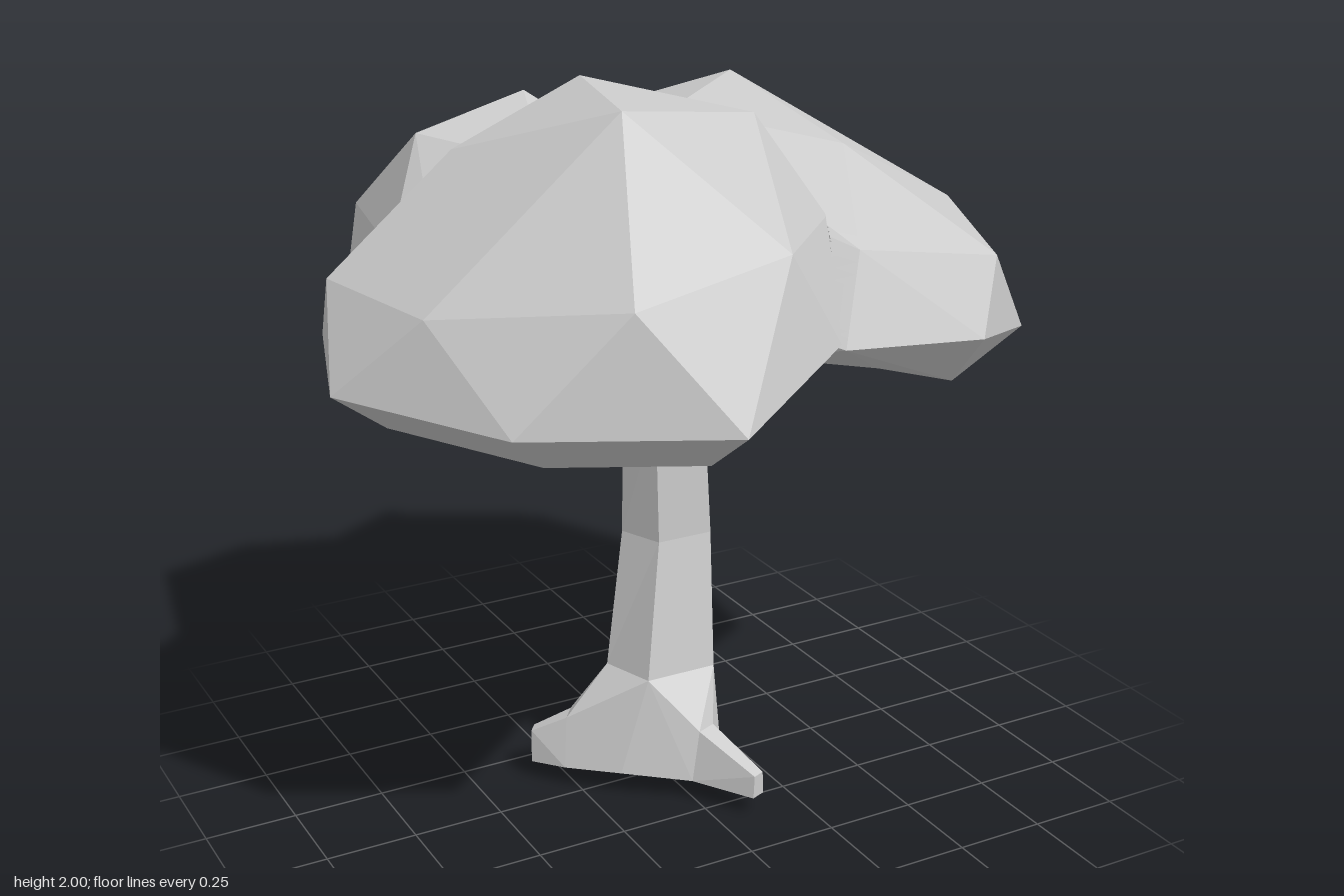
import * as THREE from 'three';
import { ConvexGeometry } from 'three/addons/geometries/ConvexGeometry.js';

const V = (p) => new THREE.Vector3(...p);

function meshOf(name, points, material) {
  const geo = new THREE.BufferGeometry().setFromPoints(points);
  geo.computeVertexNormals();
  const mesh = new THREE.Mesh(geo, material);
  mesh.name = name;
  return mesh;
}

// Convex dome: its faces without the cap between rim points, and the planes of the closed hull
function dome(name, crown, rim) {
  const pos = new ConvexGeometry([...crown, ...rim].map(V)).attributes.position;
  const rimPoints = rim.map(V);
  const onRim = (p) => rimPoints.some((q) => q.distanceTo(p) < 1e-4);
  const faces = [], planes = [];
  for (let i = 0; i < pos.count; i += 3) {
    const tri = [0, 1, 2].map((k) => new THREE.Vector3().fromBufferAttribute(pos, i + k));
    planes.push(new THREE.Plane().setFromCoplanarPoints(...tri));
    if (!tri.every(onRim)) faces.push(tri);
  }
  return { name, faces, planes };
}

// Keeps the parts of a triangle outside the other domes, so the canopy is one hollow shell
function trim(tri, others, depth, out) {
  const inside = (p, d) => d.planes.every((pl) => pl.distanceToPoint(p) < 0);
  if (others.some((d) => tri.every((p) => inside(p, d)))) return;
  const clear = others.every((d) => d.planes.some((pl) => tri.every((p) => pl.distanceToPoint(p) >= 0)));
  const [a, b, c] = tri;
  if (clear || depth === 0) {
    const centre = a.clone().add(b).add(c).divideScalar(3);
    if (clear || !others.some((d) => inside(centre, d))) out.push(a, b, c);
    return;
  }
  const ab = a.clone().lerp(b, 0.5), bc = b.clone().lerp(c, 0.5), ca = c.clone().lerp(a, 0.5);
  for (const t of [[a, ab, ca], [ab, b, bc], [ca, bc, c], [ab, bc, ca]]) trim(t, others, depth - 1, out);
}

// Points of a loft through rings, bottom to top, with end caps
function loft(rings) {
  const pts = [], n = rings[0].length;
  for (let r = 0; r + 1 < rings.length; r++) {
    for (let i = 0; i < n; i++) {
      const j = (i + 1) % n, lo = rings[r], hi = rings[r + 1];
      pts.push(lo[i], lo[j], hi[j], lo[i], hi[j], hi[i]);
    }
  }
  const low = rings[0], top = rings[rings.length - 1];
  for (let i = 1; i + 1 < n; i++) pts.push(low[0], low[i + 1], low[i], top[0], top[i], top[i + 1]);
  return pts.map(V);
}

export function createModel() {
  const model = new THREE.Group();
  model.name = 'tree';
  const grey = new THREE.MeshStandardMaterial({ color: 0xcccccc });
  grey.name = 'plain grey';
  grey.side = THREE.DoubleSide;
  grey.flatShading = true;

  // Five-sided trunk: corners run front left, front right, right, back, left
  const ring = (y, xz) => xz.map(([x, z]) => [x, y, z]);
  const base = ring(0.07, [[-0.17, 0.08], [0.12, 0.13], [0.17, -0.08], [0.02, -0.2], [-0.17, -0.1]]);
  const flare = ring(0.34, [[-0.09, 0.09], [0.115, 0.09], [0.175, -0.09], [0.01, -0.21], [-0.14, -0.06]]);
  model.add(meshOf('trunk', loft([
    base,
    flare,
    ring(0.72, [[-0.03, 0.04], [0.13, 0.04], [0.18, -0.1], [0.02, -0.205], [-0.08, -0.08]]),
    ring(1.1, [[-0.045, 0.05], [0.105, 0.045], [0.155, -0.09], [0, -0.18], [-0.085, -0.06]]),
    ring(1.36, [[-0.06, 0.06], [0.075, 0.05], [0.12, -0.07], [-0.01, -0.14], [-0.095, -0.03]]),
  ]), grey));

  // Roots: each grows from one trunk side through a knee to a blunt tip
  const roots = [
    ['frontRoot', 0, 1, 0.33, [0.115, 0.34], 0.055, 0.12],
    ['backRoot', 2, 3, 0.6, [0.285, -0.33], 0.0, 0.07],
    ['sideRoot', 4, 0, 0.62, [-0.33, -0.15], 0.05, 0.145],
  ];
  for (const [name, i, j, bend, tip, tipLow, tipHigh] of roots) {
    const sx = (flare[i][0] + flare[j][0]) / 2, sz = (flare[i][2] + flare[j][2]) / 2;
    const dx = tip[0] - sx, dz = tip[1] - sz, len = Math.hypot(dx, dz);
    const section = (t, low, high, half, topHalf) => [[low, half], [high, topHalf]].flatMap(([y, w]) =>
      [-1, 1].map((s) => [sx + dx * t - s * w * dz / len, y, sz + dz * t + s * w * dx / len]));
    const foot = [flare[i], flare[j], base[i], base[j]];
    const knee = section(bend, 0.06, 0.2, 0.06, 0.03);
    const end = section(1, tipLow, tipHigh, 0.022, 0.018);
    const group = new THREE.Group();
    group.name = name;
    for (const [a, b] of [[foot, knee], [knee, end]]) {
      const part = new THREE.Mesh(new ConvexGeometry([...a, ...b].map(V)), grey);
      part.name = name + 'Segment';
      group.add(part);
    }
    model.add(group);
  }

  // Front canopy, the tallest dome
  const front = dome('frontCanopy', [
    [-0.35, 2, 0.455], [-0.24, 2, 0.02], [-0.59, 1.855, 0.03], [0.07, 1.935, 0.335],
    [-0.92, 1.58, 0.03], [-0.835, 1.57, 0.42], [-0.5, 1.64, 0.8], [-0.07, 1.7, 0.745],
    [0.23, 1.68, 0.42], [0.22, 1.75, 0.24], [0.02, 1.88, 0],
    [-1, 1.36, 0.24], [-0.755, 1.36, 0.71], [-0.295, 1.36, 0.94], [0.08, 1.46, 0.73], [0.2, 1.45, 0.5],
    [0.2, 1.55, 0.06], [-0.1, 1.55, -0.28], [-0.59, 1.58, -0.285], [-0.89, 1.4, -0.11],
  ], [
    [-0.85, 1.245, 0.2], [-0.63, 1.24, 0.6], [-0.29, 1.24, 0.77], [0, 1.3, 0.58],
    [0.1, 1.34, 0.3], [0, 1.33, -0.08], [-0.5, 1.3, -0.2], [-0.76, 1.27, -0.08],
  ]);

  // Wide canopy on the +x side
  const wide = dome('wideCanopy', [
    [0.41, 1.895, -0.36], [0.03, 1.89, 0], [0.385, 1.81, 0.25], [0.25, 1.62, 0.54], [0.715, 1.53, 0.475],
    [0.88, 1.57, 0.03], [0.795, 1.56, -0.59], [0.325, 1.64, -0.815], [-0.02, 1.79, -0.48], [-0.1, 1.8, 0],
    [0.995, 1.27, -0.31], [0.925, 1.27, 0.33], [0.59, 1.36, 0.605], [0.15, 1.41, 0.645],
    [-0.12, 1.5, 0.3], [-0.2, 1.5, -0.2], [-0.05, 1.45, -0.7], [0.05, 1.42, -0.86],
    [0.18, 1.4, -0.905], [0.69, 1.26, -0.85],
  ], [
    [0.905, 1.115, 0.03], [0.78, 1.115, -0.52], [0.63, 1.19, 0.425], [0.33, 1.3, 0.52],
    [0.02, 1.35, 0.42], [-0.08, 1.33, -0.1], [0.1, 1.24, -0.72], [0.52, 1.17, -0.76],
  ]);

  // Small back canopy
  const back = dome('backCanopy', [
    [-0.18, 1.88, -0.44], [-0.18, 1.82, -0.59], [-0.5, 1.8, -0.42], [-0.22, 1.64, -0.765],
    [-0.555, 1.55, -0.745], [-0.65, 1.55, -0.25], [-0.305, 1.39, -0.935], [0.05, 1.42, -0.86],
    [-0.71, 1.18, -0.52], [-0.73, 1.27, -0.25], [-0.44, 1.18, -0.89], [-0.15, 1.31, -0.95],
    [0.16, 1.6, -0.52], [0.15, 1.5, -0.2], [-0.02, 1.74, -0.1], [-0.3, 1.77, -0.06], [-0.6, 1.52, -0.06],
  ], [
    [-0.51, 1.09, -0.67], [-0.64, 1.13, -0.42], [-0.66, 1.22, -0.15], [-0.25, 1.17, -0.8],
    [0, 1.24, -0.72], [0.08, 1.3, -0.4], [-0.1, 1.3, -0.08], [-0.5, 1.26, -0.05],
  ]);

  const domes = [front, wide, back];
  for (const d of domes) {
    const points = [];
    for (const tri of d.faces) trim(tri, domes.filter((o) => o !== d), 6, points);
    model.add(meshOf(d.name, points, grey));
  }
  return model;
}
